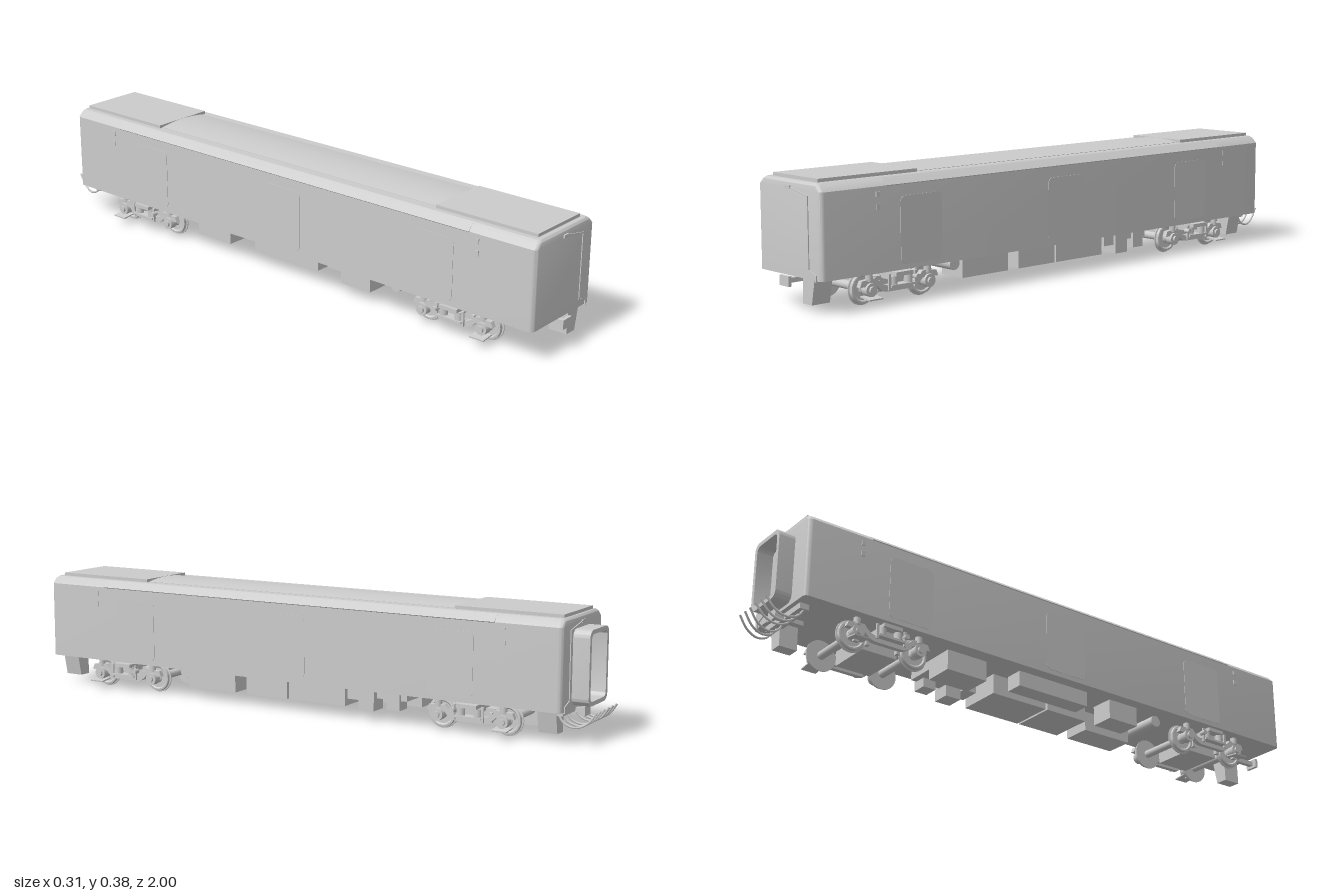
import * as THREE from 'three';
import { toCreasedNormals } from 'three/addons/utils/BufferGeometryUtils.js';

const mat = new THREE.MeshStandardMaterial({ color: 0xcccccc });

function add(parent, name, geo, x = 0, y = 0, z = 0) {
  const m = new THREE.Mesh(geo, mat);
  m.name = name;
  m.position.set(x, y, z);
  parent.add(m);
  return m;
}
// Box given by its min/max on each axis
function span(parent, name, x0, x1, y0, y1, z0, z1) {
  return add(parent, name, new THREE.BoxGeometry(x1 - x0, y1 - y0, z1 - z0),
    (x0 + x1) / 2, (y0 + y1) / 2, (z0 + z1) / 2);
}
function cylX(r, len, seg = 20) {
  return new THREE.CylinderGeometry(r, r, len, seg).rotateZ(Math.PI / 2);
}
function roundedPath(Type, w, h, r) {
  const p = new Type(), x = w / 2, y = h / 2, H = Math.PI / 2;
  p.moveTo(x, -y + r);
  p.absarc(x - r, y - r, r, 0, H);
  p.absarc(-x + r, y - r, r, H, 2 * H);
  p.absarc(-x + r, -y + r, r, 2 * H, 3 * H);
  p.absarc(x - r, -y + r, r, 3 * H, 4 * H);
  return p;
}
const extrude = (shape, depth, curveSegments = 6) =>
  new THREE.ExtrudeGeometry(shape, { depth, bevelEnabled: false, curveSegments });

// Body shell: rounded rectangles in plan, stacked and drawn in at the roof
function bodyGeometry() {
  const levels = [[0.1, 0, 0], [0.35, 0, 0], [0.366, 0.014, 0.002], [0.373, 0.025, 0.008]];
  const pos = [], idx = [], n = 24, r = 0.014, zMid = 0.032;
  for (const [y, dx, dz] of levels) {
    const hx = 0.15 - dx, hz = 0.946 - dz;
    for (let i = 0; i < n; i++) {
      const q = Math.floor(i / 6), a = (q + (i % 6) / 5) * Math.PI / 2;
      const sx = q === 0 || q === 3 ? 1 : -1, sz = q < 2 ? 1 : -1;
      pos.push(sx * (hx - r) + r * Math.cos(a), y, zMid + sz * (hz - r) + r * Math.sin(a));
    }
  }
  const last = (levels.length - 1) * n;
  for (let i = 0; i < n; i++) {
    const j = (i + 1) % n;
    for (let k = 0; k < last; k += n) idx.push(k + i, k + n + i, k + j, k + j, k + n + i, k + n + j);
    if (i > 0 && i < n - 1) idx.push(0, i, i + 1, last, last + i + 1, last + i);
  }
  const g = new THREE.BufferGeometry();
  g.setAttribute('position', new THREE.Float32BufferAttribute(pos, 3));
  g.setIndex(idx);
  return toCreasedNormals(g, 0.5);
}

function buildBody(root) {
  const body = new THREE.Group();
  body.name = 'body';
  root.add(body);
  add(body, 'shell', bodyGeometry());

  // Roof: raised end panels and a gently arched middle
  span(body, 'frontRoofPanel', -0.108, 0.108, 0.368, 0.383, 0.6, 0.955);
  span(body, 'backRoofPanel', -0.108, 0.108, 0.368, 0.383, -0.9, -0.55);
  const arch = new THREE.Shape();
  arch.moveTo(-0.095, 0.368);
  arch.lineTo(0.095, 0.368);
  arch.lineTo(0.095, 0.374);
  arch.quadraticCurveTo(0, 0.391, -0.095, 0.374);
  add(body, 'middleRoof', toCreasedNormals(extrude(arch, 1.15, 12), 0.4), 0, 0, -0.55);

  for (const s of [-1, 1]) {
    const gutter = span(body, 'roofGutter', -0.0015, 0.0015, -0.015, 0.015, -0.7, 0.75);
    gutter.position.set(s * 0.141, 0.3595, 0.025);
    gutter.rotation.z = s * 0.85;
    // Side doors
    for (const z of [0.62, 0.032, -0.555]) {
      const door = add(body, 'sideDoor', extrude(roundedPath(THREE.Shape, 0.155, 0.2, 0.018), 0.002),
        s * 0.1495, 0.215, z);
      door.rotation.y = s * Math.PI / 2;
    }
    // Small side lamps
    for (const z of [0.78, -0.73])
      for (const y of [0.328, 0.292]) span(body, 'sideLamp', s * 0.15 - 0.003, s * 0.15 + 0.003, y - 0.008, y + 0.008, z - 0.006, z + 0.006);
  }

  // Cable conduit on both end walls
  for (const z of [0.978, -0.914]) {
    span(body, 'conduitBox', -0.012, 0.01, 0.347, 0.357, z - 0.004, z + 0.004);
    const run = [[0.008, 0.352], [0.091, 0.335], [0.091, 0.127], [0.125, 0.114], [0.125, 0.098]];
    for (let i = 1; i < run.length; i++) {
      const [x0, y0] = run[i - 1], [x1, y1] = run[i];
      const len = Math.hypot(x1 - x0, y1 - y0);
      const bar = add(body, 'conduit', new THREE.BoxGeometry(len + 0.003, 0.004, 0.006), (x0 + x1) / 2, (y0 + y1) / 2, z);
      bar.rotation.z = Math.atan2(y1 - y0, x1 - x0);
    }
  }
}

function buildEnds(root) {
  // Hollow gangway surround at the back
  const ring = roundedPath(THREE.Shape, 0.144, 0.226, 0.024);
  ring.holes.push(roundedPath(THREE.Path, 0.118, 0.2, 0.016));
  add(root, 'gangway', toCreasedNormals(extrude(ring, 0.056), 0.5), 0, 0.223, -0.967);
  span(root, 'gangwayDoor', -0.045, 0.045, 0.125, 0.315, -0.918, -0.91);

  // Couplers
  for (const [z, s] of [[0.978, 1], [-0.914, -1]]) {
    const c = new THREE.Group();
    c.name = 'coupler';
    c.position.z = z;
    c.scale.z = s;
    root.add(c);
    span(c, 'couplerShaft', -0.008, 0.008, 0.08, 0.094, -0.08, 0.014);
    span(c, 'couplerHead', -0.022, 0.022, 0.072, 0.102, 0.012, 0.022);
  }

  // Hanging jumper cables under the gangway
  for (const x of [-0.09, -0.06, -0.03, 0.03, 0.06, 0.09]) {
    const k = Math.sign(x);
    const path = new THREE.CatmullRomCurve3([[x, 0.088, -0.88], [x, 0.06, -0.9], [x - k * 0.003, 0.05, -0.935],
      [x - k * 0.008, 0.065, -0.97], [x - k * 0.012, 0.1, -0.997]].map(p => new THREE.Vector3(...p)));
    add(root, 'jumperCable', new THREE.TubeGeometry(path, 14, 0.0035, 6));
  }
  span(root, 'cableBracket', -0.1, 0.1, 0.082, 0.1, -0.9, -0.87);

  // Tapered boxes beneath each end
  const taper = new THREE.Shape([[0.048, 0.025], [0.09, 0.025], [0.105, 0.101], [0.05, 0.101]].map(p => new THREE.Vector2(...p)));
  add(root, 'frontEndBox', extrude(taper, 0.062), 0, 0, 0.908);
  add(root, 'backEndBox', extrude(taper, 0.06), 0, 0, -0.88);
}

function buildUnderframe(root) {
  const g = new THREE.Group();
  g.name = 'underframeEquipment';
  root.add(g);
  const boxes = [ // x0, x1, y0, z0, z1
    [0.015, 0.11, 0.035, 0.245, 0.43], [-0.11, -0.03, 0.035, 0.245, 0.36],
    [-0.04, 0.11, 0.035, 0.045, 0.2], [-0.04, 0.11, 0.035, -0.17, 0.037],
    [-0.11, -0.05, 0.05, -0.12, 0.15], [0.04, 0.11, 0.06, -0.225, -0.18],
    [0.06, 0.12, 0.032, -0.28, -0.225], [0.06, 0.11, 0.04, -0.365, -0.32],
    [-0.1, 0.0, 0.035, -0.385, -0.24], [-0.02, 0.1, 0.07, -0.385, -0.22],
  ];
  for (const [x0, x1, y0, z0, z1] of boxes) span(g, 'equipmentBox', x0, x1, y0, 0.101, z0, z1);
  add(g, 'airTank', cylX(0.019, 0.2), 0, 0.08, 0.452);
}

// Two-axle bogie; +z is the outer end of the coach
function buildBogie() {
  const b = new THREE.Group();
  b.name = 'bogie';
  const wheelPts = [[0, -0.007], [0.05, -0.007], [0.05, -0.004], [0.0455, -0.002], [0.0445, 0.007],
    [0.038, 0.007], [0.034, 0.003], [0.018, 0.003], [0.014, 0.008], [0, 0.008]].map(p => new THREE.Vector2(...p));
  const wheelGeo = toCreasedNormals(new THREE.LatheGeometry(wheelPts, 32).rotateZ(-Math.PI / 2), 0.5);

  // Side frame: high over the axle boxes, dipped between the axles
  const f = new THREE.Shape();
  f.moveTo(-0.145, 0.06);
  f.lineTo(-0.085, 0.06);
  f.quadraticCurveTo(-0.065, 0.036, -0.045, 0.036);
  f.lineTo(0.045, 0.036);
  f.quadraticCurveTo(0.065, 0.036, 0.085, 0.06);
  f.lineTo(0.145, 0.06);
  f.lineTo(0.138, 0.078);
  f.lineTo(0.085, 0.082);
  f.quadraticCurveTo(0.065, 0.056, 0.045, 0.056);
  f.lineTo(-0.045, 0.056);
  f.quadraticCurveTo(-0.065, 0.056, -0.085, 0.082);
  f.lineTo(-0.138, 0.078);
  const frameGeo = toCreasedNormals(extrude(f, 0.016).translate(0, 0, -0.008).rotateY(-Math.PI / 2), 0.5);

  for (const z of [-0.108, 0.108]) {
    add(b, 'axle', cylX(0.013, 0.25, 16), 0, 0.05, z);
    for (const s of [-1, 1]) {
      const w = add(b, 'wheel', wheelGeo, s * 0.088, 0.05, z);
      if (s < 0) w.rotation.y = Math.PI;
      add(b, 'axleBox', cylX(0.02, 0.024), s * 0.12, 0.05, z);
      add(b, 'axleCap', cylX(0.011, 0.008, 12), s * 0.135, 0.05, z);
      add(b, 'axleSpring', new THREE.CylinderGeometry(0.011, 0.011, 0.022, 12), s * 0.118, 0.085, z);
      span(b, 'brakeBlock', s * 0.088 - 0.007, s * 0.088 + 0.007, 0.035, 0.065, z - Math.sign(z) * 0.055 - 0.006, z - Math.sign(z) * 0.055 + 0.006);
    }
  }
  for (const s of [-1, 1]) {
    add(b, 'sideFrame', frameGeo, s * 0.116, 0, 0);
    // Central suspension
    for (const z of [-0.028, 0.028]) {
      add(b, 'bolsterSpring', new THREE.CylinderGeometry(0.013, 0.013, 0.026, 14), s * 0.128, 0.069, z);
      span(b, 'hangerLink', s * 0.136 - 0.003, s * 0.136 + 0.003, 0.042, 0.09, z * 1.7 - 0.004, z * 1.7 + 0.004);
    }
    span(b, 'springSeat', s * 0.128 - 0.016, s * 0.128 + 0.016, 0.05, 0.057, -0.045, 0.045);
    span(b, 'bolsterEnd', s * 0.13 - 0.018, s * 0.13 + 0.018, 0.082, 0.094, -0.032, 0.032);
    add(b, 'damper', cylX(0.008, 0.02, 12), s * 0.138, 0.072, -0.05);
    // Flared collector shoe below the outer axle
    span(b, 'shoeHanger', s * 0.114 - 0.006, s * 0.114 + 0.006, 0.022, 0.05, 0.1, 0.116);
    const shoe = add(b, 'collectorShoe', new THREE.BoxGeometry(0.044, 0.004, 0.05), s * 0.13, 0.028, 0.108);
    shoe.rotation.z = -s * 0.12;
  }
  span(b, 'bolster', -0.12, 0.12, 0.068, 0.092, -0.03, 0.03);
  span(b, 'motorCase', -0.075, 0.075, 0.027, 0.075, -0.06, 0.06);
  add(b, 'pivot', new THREE.CylinderGeometry(0.035, 0.035, 0.014, 20), 0, 0.095, 0);
  return b;
}

export function createModel() {
  const root = new THREE.Group();
  root.name = 'passengerCoach';
  buildBody(root);
  buildEnds(root);
  buildUnderframe(root);
  const front = buildBogie();
  front.position.z = 0.682;
  const back = buildBogie();
  back.position.z = -0.612;
  back.rotation.y = Math.PI;
  root.add(front, back);
  return root;
}
